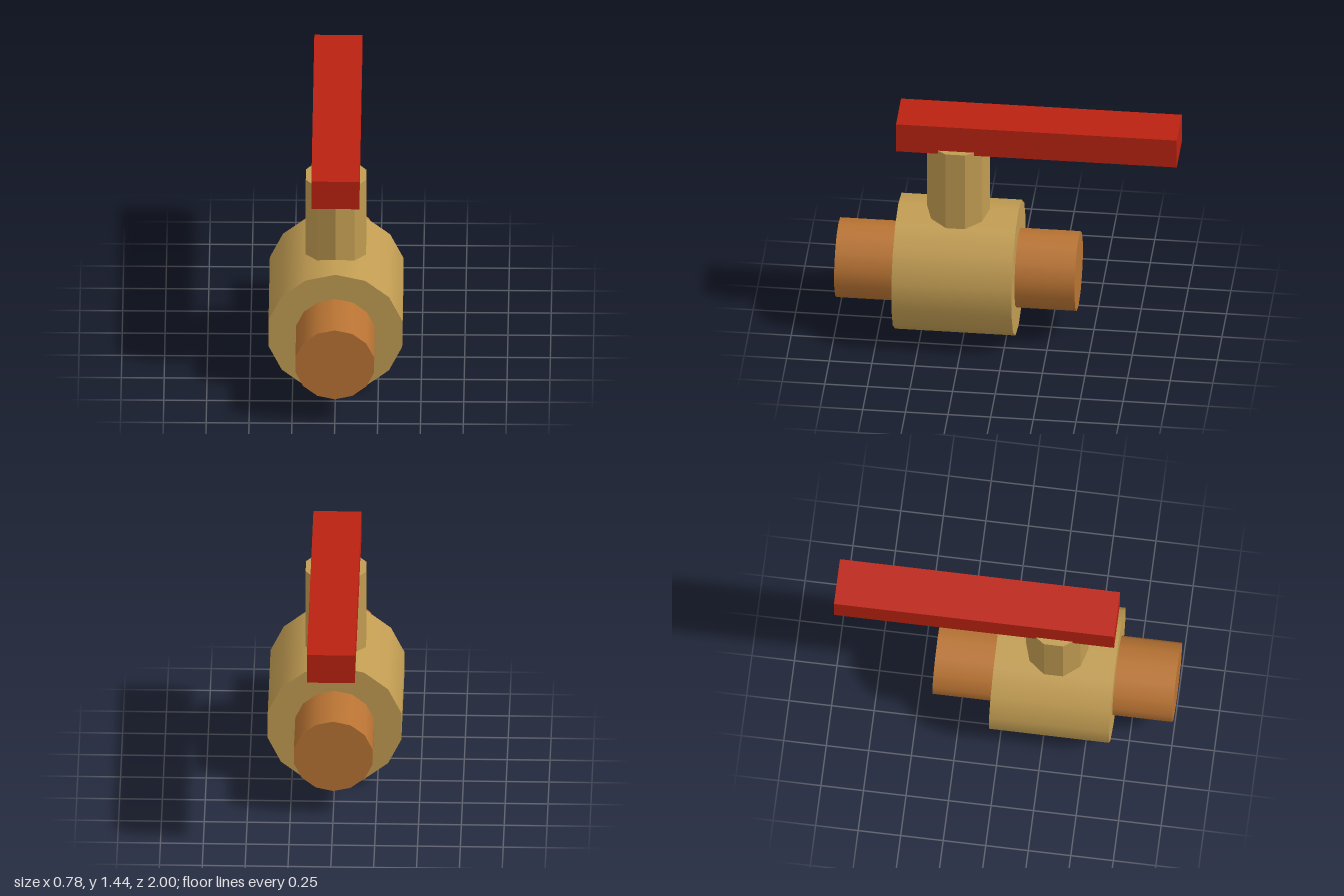
import * as THREE from 'three';

export function createModel() {
  const model = new THREE.Group();
  const material = (name, color) => {
    const m = new THREE.MeshStandardMaterial({ color });
    m.name = name;
    return m;
  };
  const brass = material('brass', 0xc19c52);
  const copper = material('copper', 0xb87333);
  const red = material('red', 0xbb2211);

  const add = (name, geometry, mat, x, y, z) => {
    const mesh = new THREE.Mesh(geometry, mat);
    mesh.name = name;
    mesh.position.set(x, y, z);
    model.add(mesh);
  };

  // Fourteen-sided cylinder lying along z, with a corner at the top
  const lying = (radius, length) =>
    new THREE.CylinderGeometry(radius, radius, length, 14).rotateX(-Math.PI / 2);

  // Pipe running through the valve body
  add('pipe', lying(0.235, 1.41), copper, 0, 0.4, 0.295);
  add('valveBody', lying(0.4, 0.705), brass, 0, 0.4, 0.295);

  // Faceted upright stem, sunk into the body
  const stem = new THREE.CylinderGeometry(0.185, 0.185, 0.67, 10).toNonIndexed();
  stem.computeVertexNormals();
  add('stem', stem, brass, 0, 0.935, 0.295);

  // Lever handle reaching to the back
  add('handle', new THREE.BoxGeometry(0.28, 0.187, 1.647), red, 0, 1.342, -0.1765);

  return model;
}
